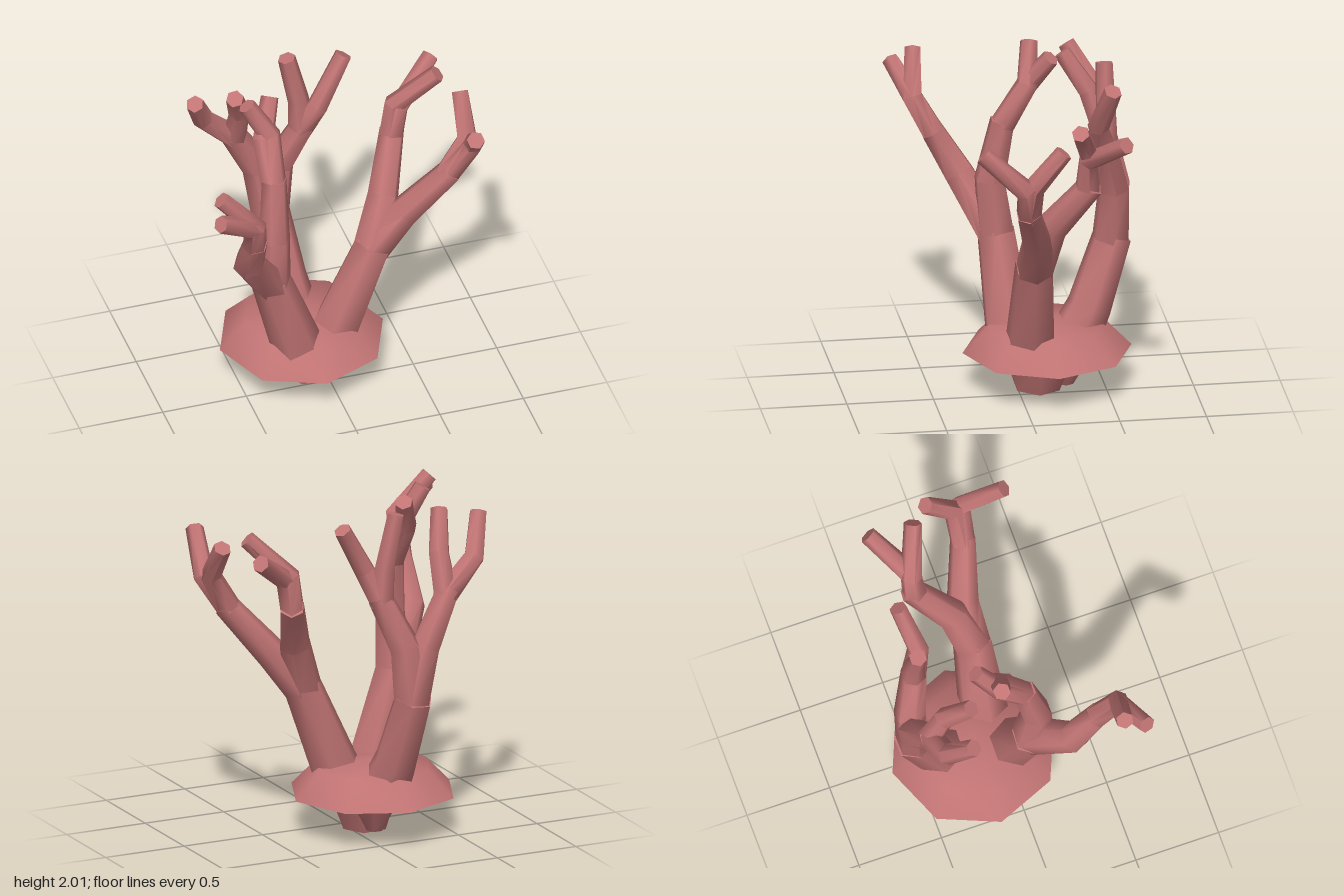
import * as THREE from 'three';
import { toCreasedNormals } from 'three/addons/utils/BufferGeometryUtils.js';

const SIDES = 6;
const material = new THREE.MeshStandardMaterial({ color: 0xc07373 });
const vec = (x, y, z) => new THREE.Vector3(x, y, z);

function addPart(parent, name, geometry) {
  const mesh = new THREE.Mesh(toCreasedNormals(geometry, 1.06), material);
  mesh.name = name;
  parent.add(mesh);
  return mesh;
}

// Closed six-sided limb through a few points, tapering from r0 to r1
function limbGeometry(p, r0, r1) {
  const n = p.length;
  const pos = [];
  const index = [];
  let u = vec(1, 0, 0);
  p.forEach((c, i) => {
    const before = p[i].clone().sub(p[Math.max(i - 1, 0)]).normalize();
    const after = p[Math.min(i + 1, n - 1)].clone().sub(p[i]).normalize();
    const t = before.add(after).normalize();
    u = u.clone().addScaledVector(t, -u.dot(t)).normalize();
    const v = t.clone().cross(u);
    const r = THREE.MathUtils.lerp(r0, r1, i / (n - 1));
    for (let j = 0; j < SIDES; j++) {
      const a = (j / SIDES) * Math.PI * 2;
      const q = c.clone().addScaledVector(u, r * Math.cos(a)).addScaledVector(v, r * Math.sin(a));
      pos.push(q.x, q.y, q.z);
    }
  });
  for (let i = 0; i < n - 1; i++) {
    for (let j = 0; j < SIDES; j++) {
      const a = i * SIDES + j;
      const b = i * SIDES + ((j + 1) % SIDES);
      index.push(a, b, b + SIDES, a, b + SIDES, a + SIDES);
    }
  }
  // End caps
  const last = (n - 1) * SIDES;
  for (let j = 1; j < SIDES - 1; j++) {
    index.push(0, j + 1, j, last, last + j, last + j + 1);
  }
  const g = new THREE.BufferGeometry();
  g.setAttribute('position', new THREE.Float32BufferAttribute(pos, 3));
  g.setIndex(index);
  return g;
}

// Continue from the end of a parent limb, starting slightly inside it
function grow(parentPath, bend, tip) {
  const [previous, end] = parentPath.slice(-2);
  const start = end.clone().add(previous.clone().sub(end).setLength(0.04));
  return [start, bend, tip];
}

// A trunk forks into branches, and each branch forks into twigs
function addStem(model, name, trunk, branches) {
  const stem = new THREE.Group();
  stem.name = name;
  model.add(stem);
  addPart(stem, 'trunk', limbGeometry(trunk, 0.15, 0.115));
  for (const { bend, fork, twigs } of branches) {
    const branch = grow(trunk, bend, fork);
    addPart(stem, 'branch', limbGeometry(branch, 0.112, 0.074));
    for (const [elbow, tip] of twigs) {
      addPart(stem, 'twig', limbGeometry(grow(branch, elbow, tip), 0.074, 0.052));
    }
  }
}

export function createModel() {
  const model = new THREE.Group();
  model.name = 'branchingCoral';

  // Eight-sided mound with a flat underside
  const profile = [[0, 0.2], [0.31, 0.2], [0.488, 0.22], [0.34, 0.375], [0, 0.42]];
  const mound = new THREE.LatheGeometry(profile.map(([r, y]) => new THREE.Vector2(r, y)), 8);
  addPart(model, 'baseMound', mound).position.set(-0.115, 0, -0.172);

  // Tapered root stubs under the mound
  addPart(model, 'rootFront', limbGeometry([vec(-0.1, 0, -0.11), vec(-0.09, 0.24, -0.12)], 0.14, 0.225));
  addPart(model, 'rootBack', limbGeometry([vec(-0.08, 0.02, -0.27), vec(-0.08, 0.24, -0.28)], 0.05, 0.17));

  addStem(model, 'leftStem', [vec(0.04, 0.3, -0.05), vec(0.275, 0.88, -0.04)], [
    {
      bend: vec(0.36, 1.15, -0.13),
      fork: vec(0.48, 1.44, -0.34),
      twigs: [
        [vec(0.49, 1.62, -0.33), vec(0.72, 1.85, -0.24)],
        [vec(0.51, 1.6, -0.32), vec(0.76, 1.78, -0.5)],
      ],
    },
    {
      bend: vec(0.46, 1.08, -0.03),
      fork: vec(0.71, 1.38, 0.06),
      twigs: [
        [vec(0.83, 1.56, 0.09), vec(0.77, 1.77, 0.33)],
        [vec(0.81, 1.57, 0.04), vec(0.82, 1.78, -0.13)],
      ],
    },
  ]);

  addStem(model, 'rightStem', [vec(-0.2, 0.3, 0.03), vec(-0.385, 0.87, 0.085)], [
    {
      bend: vec(-0.57, 1.15, 0.27),
      fork: vec(-0.58, 1.41, 0.42),
      twigs: [
        [vec(-0.62, 1.61, 0.53), vec(-0.85, 1.75, 0.62)],
        [vec(-0.61, 1.61, 0.53), vec(-0.81, 1.83, 0.5)],
      ],
    },
    {
      bend: vec(-0.37, 1.18, 0.12),
      fork: vec(-0.35, 1.54, 0.05),
      twigs: [
        [vec(-0.33, 1.76, -0.09), vec(-0.46, 1.975, -0.12)],
        [vec(-0.37, 1.74, -0.09), vec(-0.29, 1.93, -0.22)],
      ],
    },
  ]);

  addStem(model, 'backStem', [vec(-0.12, 0.3, -0.34), vec(-0.14, 0.46, -0.42), vec(-0.185, 0.87, -0.56)], [
    {
      bend: vec(-0.13, 1.18, -0.56),
      fork: vec(0, 1.48, -0.49),
      twigs: [
        [vec(0.07, 1.63, -0.44), vec(0.24, 1.91, -0.5)],
        [vec(-0.03, 1.65, -0.5), vec(-0.1, 1.96, -0.5)],
      ],
    },
    {
      bend: vec(-0.25, 1.17, -0.58),
      fork: vec(-0.42, 1.48, -0.53),
      twigs: [
        [vec(-0.6, 1.64, -0.5), vec(-0.69, 1.86, -0.37)],
        [vec(-0.4, 1.68, -0.45), vec(-0.47, 1.89, -0.31)],
      ],
    },
  ]);

  return model;
}
